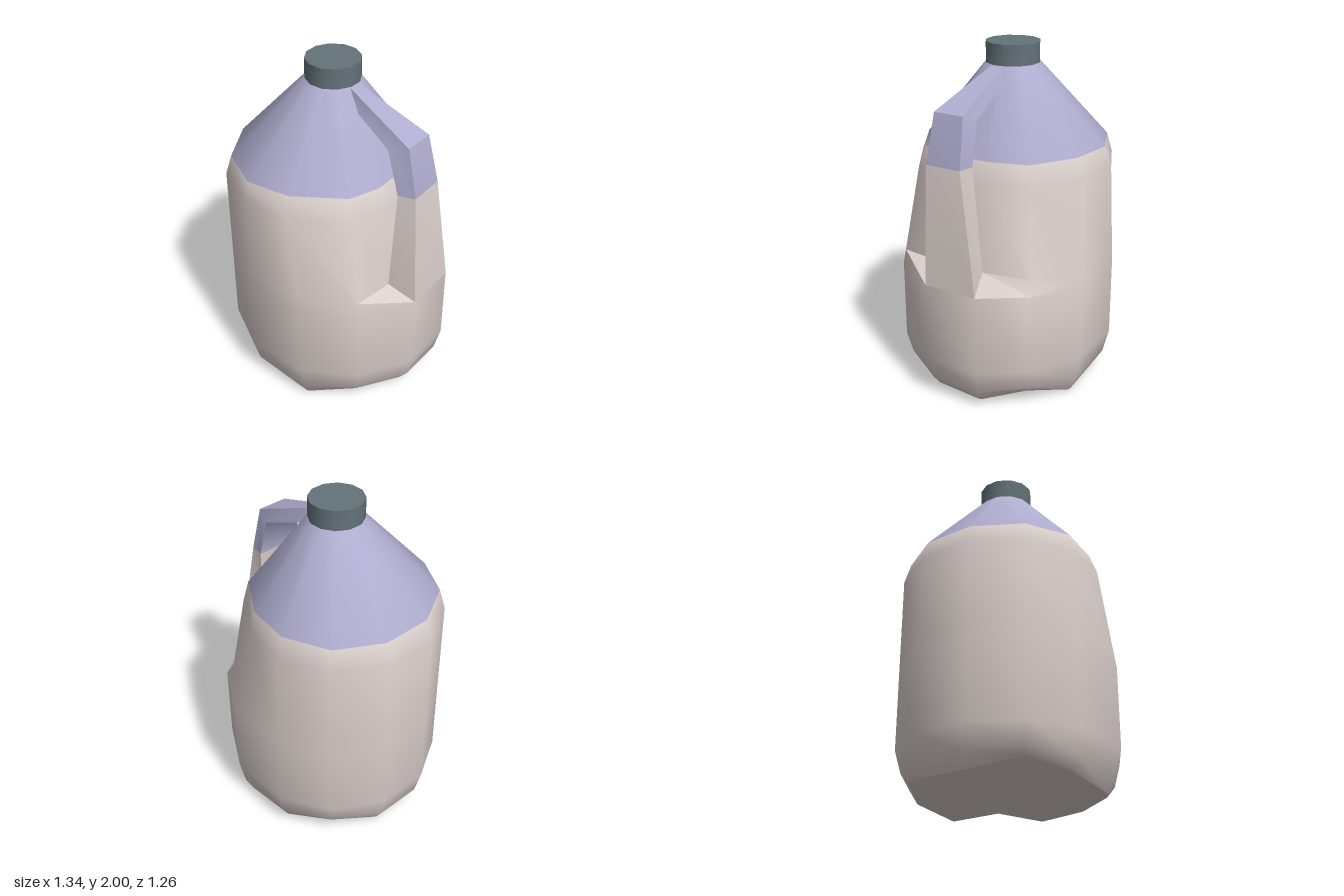
import * as THREE from 'three';
import { toCreasedNormals } from 'three/addons/utils/BufferGeometryUtils.js';

const mat = (name, color) => {
  const m = new THREE.MeshStandardMaterial({ color });
  m.name = name;
  return m;
};

// Skin a stack of closed loops (bottom to top, clockwise seen from above).
// Rows from index `split` upward use the second material.
function loft(rings, split, crease, floor) {
  const n = rings[0].length;
  const index = [];
  const pos = rings.flat(2);
  if (floor) {
    const c = pos.length / 3;
    pos.push(...floor);
    for (let i = 0; i < n; i++) index.push(c, i, (i + 1) % n);
  }
  let lower = 0;
  for (let r = 0; r < rings.length - 1; r++) {
    if (r === split) lower = index.length;
    for (let i = 0; i < n; i++) {
      const a = r * n + i, b = r * n + (i + 1) % n;
      index.push(a, a + n, b + n, a, b + n, b);
    }
  }
  const g = new THREE.BufferGeometry();
  g.setAttribute('position', new THREE.Float32BufferAttribute(pos, 3));
  g.setIndex(index);
  g.addGroup(0, lower, 0);
  g.addGroup(lower, index.length - lower, 1);
  return toCreasedNormals(g, crease);
}

export function createModel() {
  const group = new THREE.Group();
  const plastic = mat('warm off-white plastic', 0xdacfcb);
  const lilac = mat('lilac plastic', 0xb0aed0);
  const slate = mat('slate cap', 0x647379);
  const add = (name, geometry, material) => {
    const mesh = new THREE.Mesh(geometry, material);
    mesh.name = name;
    group.add(mesh);
    return mesh;
  };
  const cx = -0.05, cz = -0.018;

  // Plan outlines as [x, z]: full belly, shoulder and colour line
  const belly = [[-0.67, -0.015], [-0.59, -0.32], [-0.36, -0.55], [-0.05, -0.635],
    [0.325, -0.54], [0.565, -0.305], [0.67, -0.015], [0.585, 0.305],
    [0.335, 0.54], [0.01, 0.63], [-0.36, 0.52], [-0.59, 0.29]];
  const shoulder = [[-0.67, -0.015], [-0.59, -0.32], [-0.36, -0.55], [-0.055, -0.605],
    [0.2, -0.5], [0.43, -0.26], [0.45, -0.01], [0.38, 0.28],
    [0.24, 0.46], [-0.09, 0.565], [-0.36, 0.5], [-0.59, 0.29]];
  const line = [[-0.63, -0.015], [-0.55, -0.31], [-0.34, -0.52], [-0.055, -0.565],
    [0.2, -0.46], [0.405, -0.24], [0.41, -0.005], [0.335, 0.265],
    [0.225, 0.42], [-0.085, 0.52], [-0.35, 0.48], [-0.555, 0.28]];
  const footY = [0.03, 0.03, 0.07, 0.03, 0, 0.08, 0.03, 0.05, 0.06, 0, 0.04, 0.09];

  const at = (loop, y, s = 1) => loop.map(([x, z]) => [x * s, y, z * s]);
  const feet = belly.map(([x, z], i) => [x * 0.87, footY[i], z * 0.87]);
  const heel = belly.map(([x, z], i) => [x * 0.945, 0.09 + footY[i] * 0.5, z * 0.945]);
  // Ledge where the wall steps in behind the handle
  const ledge = belly.map(([x, z], i) => {
    const t = 0.14;
    return [x + (shoulder[i][0] - x) * t, 0.8, z + (shoulder[i][1] - z) * t];
  });
  ledge[5] = [0.52, 0.8, -0.29];
  ledge[6] = [0.5, 0.8, -0.01];
  ledge[7] = [0.42, 0.8, 0.3];
  const neck = belly.map((_, i) => {
    const a = i * Math.PI / 6;
    return [cx - 0.155 * Math.cos(a), 1.885, cz - 0.155 * Math.sin(a)];
  });

  add('jugBody', loft([feet, heel, at(belly, 0.25), at(belly, 0.72), ledge,
    at(shoulder, 1.3), at(line, 1.42), neck], 6, 0.85, [0, 0.05, 0]), [plastic, lilac]);

  // Handle: four-cornered sections from the ledge up to the neck
  add('handle', loft([
    [[0.67, 0.72, -0.015], [0.585, 0.72, 0.305], [0.42, 0.8, 0.3], [0.5, 0.8, -0.005]],
    [[0.605, 1.42, 0.08], [0.55, 1.42, 0.29], [0.45, 1.42, 0.295], [0.52, 1.42, 0.038]],
    [[0.54, 1.7, 0.08], [0.49, 1.7, 0.26], [0.37, 1.66, 0.245], [0.46, 1.66, 0.03]],
    [[0.1, 1.88, 0], [0.08, 1.88, 0.065], [0.13, 1.77, 0.105], [0.18, 1.77, -0.015]],
  ], 1, 0.95), [plastic, lilac]);

  // Cap
  const cap = add('cap', toCreasedNormals(
    new THREE.CylinderGeometry(0.158, 0.158, 0.125, 12), 0.7), slate);
  cap.position.set(cx, 1.9375, cz);
  return group;
}
